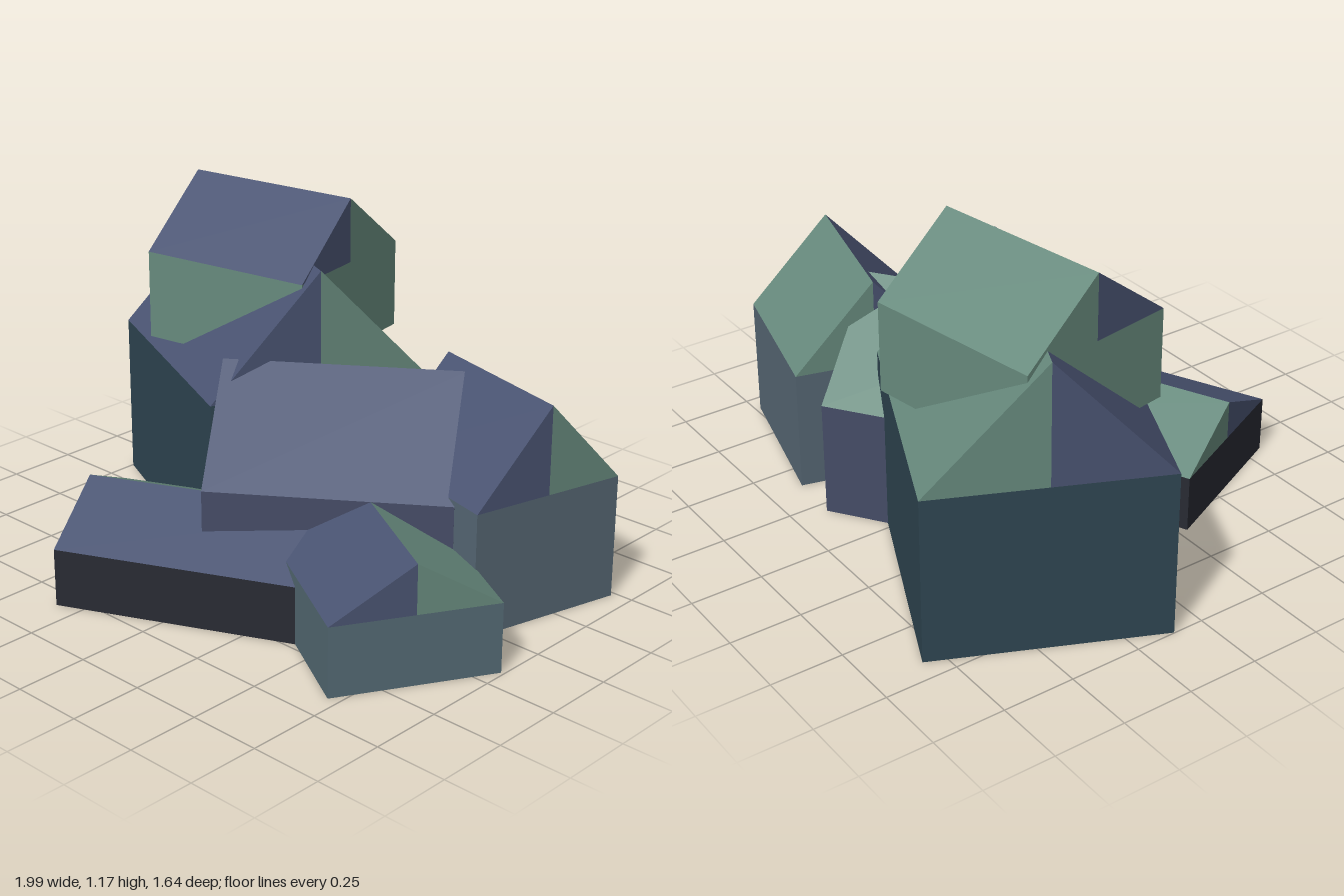
import * as THREE from 'three';

const FRONT_ROOF = 0x4a5472;
const BACK_ROOF = 0x678a7d;

// Each house: ridge ends [x, z] from left to right, footprint width, wall base, eave and ridge heights
const HOUSES = [
  { name: 'tallHouse', a: [-0.835, -0.465], b: [-0.015, -0.09], width: 0.785, base: 0, eave: 0.58, ridge: 1.0, color: 0x2f4652 },
  { name: 'frontHouse', a: [-0.463, 0.553], b: [0.4, 0.153], width: 0.593, base: 0, eave: 0.2, ridge: 0.34, color: 0x282a33 },
  { name: 'middleHouse', a: [-0.22, 0.165], b: [0.44, -0.3], width: 0.812, base: 0, eave: 0.41, ridge: 0.71, color: 0x454c66 },
  { name: 'backHouse', a: [0.32, -0.35], b: [0.86, -0.21], width: 0.56, base: 0, eave: 0.43, ridge: 0.735, color: 0x566774 },
  { name: 'smallHouse', a: [0.314, 0.1], b: [0.85, 0.41], width: 0.556, base: 0, eave: 0.24, ridge: 0.41, color: 0x546a74 },
  { name: 'upperHouse', a: [-0.74, -0.23], b: [-0.11, -0.336], width: 0.583, base: 0.64, eave: 0.95, ridge: 1.175, color: BACK_ROOF },
];

function part(name, geometry, color) {
  const material = new THREE.MeshStandardMaterial({ color, flatShading: true });
  const mesh = new THREE.Mesh(geometry, material);
  mesh.name = name;
  return mesh;
}

// Solid half of a gable roof; side is +1 for the front slope, -1 for the back slope
function halfRoof(length, halfWidth, height, side) {
  const shape = new THREE.Shape([
    new THREE.Vector2(0, 0),
    new THREE.Vector2(-side * halfWidth, 0),
    new THREE.Vector2(0, height),
  ]);
  const geometry = new THREE.ExtrudeGeometry(shape, { depth: length, bevelEnabled: false });
  geometry.translate(0, 0, -length / 2);
  return geometry.rotateY(Math.PI / 2);
}

function house({ name, a, b, width, base, eave, ridge, color }) {
  const dx = b[0] - a[0];
  const dz = b[1] - a[1];
  const length = Math.hypot(dx, dz);
  const group = new THREE.Group();
  group.name = name;

  // Walls
  const walls = part('walls', new THREE.BoxGeometry(length, eave - base, width), color);
  walls.position.y = (base + eave) / 2;
  group.add(walls);

  // Two-tone roof
  for (const side of [1, -1]) {
    const roof = part(
      side > 0 ? 'frontRoof' : 'backRoof',
      halfRoof(length, width / 2, ridge - eave, side),
      side > 0 ? FRONT_ROOF : BACK_ROOF,
    );
    roof.position.y = eave;
    group.add(roof);
  }

  group.position.set((a[0] + b[0]) / 2, 0, (a[1] + b[1]) / 2);
  group.rotation.y = Math.atan2(-dz, dx);
  return group;
}

export function createModel() {
  const model = new THREE.Group();
  model.name = 'houseCluster';
  for (const spec of HOUSES) model.add(house(spec));
  return model;
}
